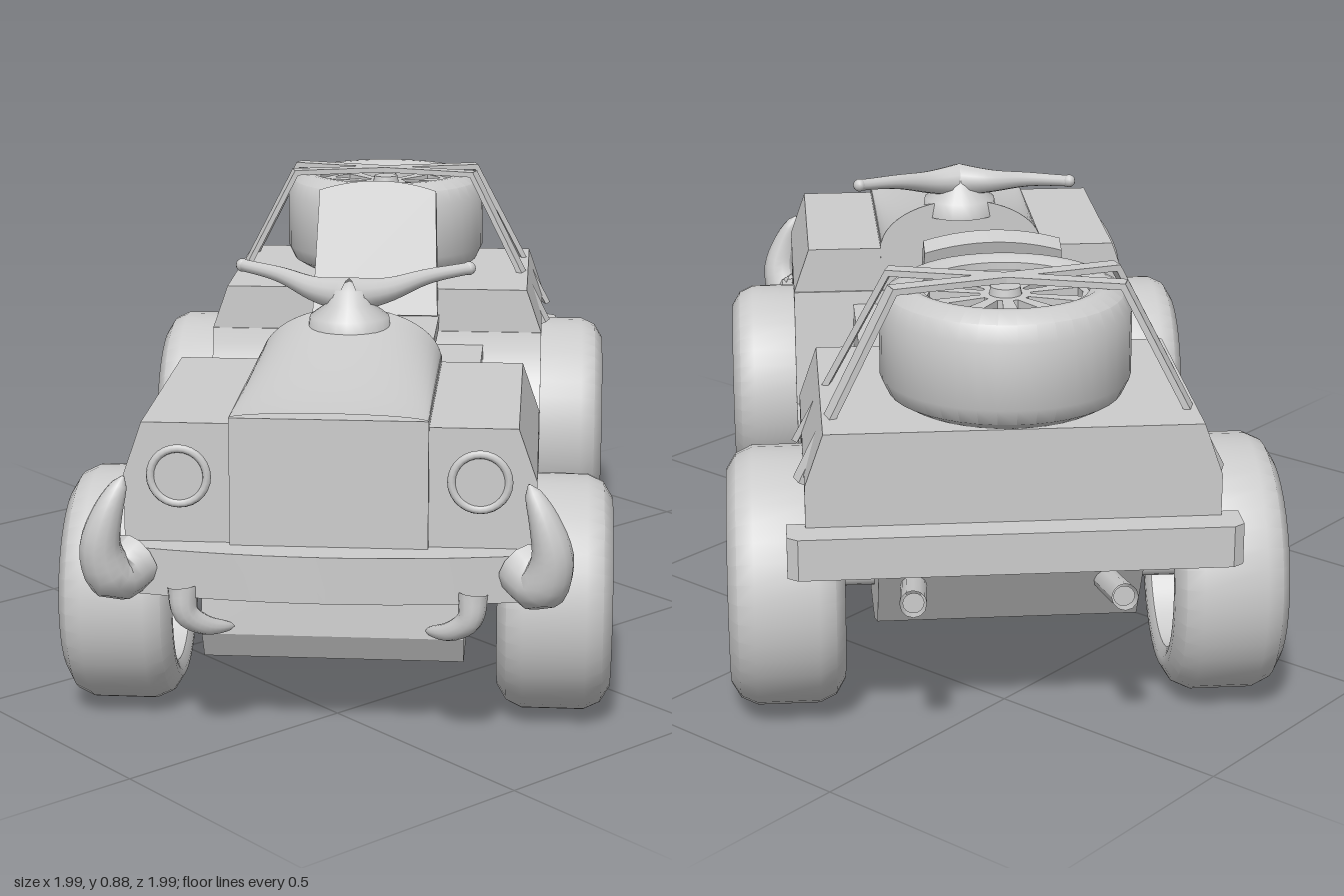
import * as THREE from 'three';
import { toCreasedNormals } from 'three/addons/utils/BufferGeometryUtils.js';

const V = (x, y, z) => new THREE.Vector3(x, y, z);
const lightGrey = new THREE.MeshStandardMaterial({ color: 0xcccccc, side: THREE.DoubleSide });

export function createModel() {
  const model = new THREE.Group();
  const car = new THREE.Group();
  car.name = 'buggy';
  car.rotation.y = -Math.PI / 4;
  model.add(car);

  const add = (name, geo, x = 0, y = 0, z = 0, parent = car) => {
    const m = new THREE.Mesh(geo, lightGrey);
    m.name = name;
    m.position.set(x, y, z);
    parent.add(m);
    return m;
  };
  const box = (name, w, h, d, x, y, z) => add(name, new THREE.BoxGeometry(w, h, d), x, y, z);
  const polygon = pts => new THREE.Shape(pts.map(p => new THREE.Vector2(...p)));
  const extrude = (shape, depth) => toCreasedNormals(
    new THREE.ExtrudeGeometry(shape, { depth, bevelEnabled: false, curveSegments: 14 }), 0.5);
  // Side profile given as (z, y), extruded across the width
  const across = (name, shape, width) =>
    add(name, extrude(shape, width).rotateY(-Math.PI / 2).translate(width / 2, 0, 0));
  // Tube whose radius follows a rule of t
  const taper = (name, pts, radius, seg = 16) => {
    const curve = new THREE.CatmullRomCurve3(pts);
    const g = new THREE.TubeGeometry(curve, seg, 1, 12);
    const p = g.attributes.position, v = V(0, 0, 0);
    for (let i = 0; i < p.count; i++) {
      const t = Math.floor(i / 13) / seg, c = curve.getPointAt(t);
      v.fromBufferAttribute(p, i).sub(c).multiplyScalar(radius(t)).add(c);
      p.setXYZ(i, v.x, v.y, v.z);
    }
    g.computeVertexNormals();
    return add(name, g);
  };

  // Lower body: arches, floor and the sweep up behind the seat
  const body = new THREE.Shape();
  body.moveTo(0.87, 0.53);
  for (const p of [[0.87, 0.34], [0.84, 0.34], [0.8, 0.47], [0.42, 0.47], [0.35, 0.2], [-0.37, 0.2],
    [-0.43, 0.5], [-0.84, 0.5], [-0.87, 0.4], [-0.89, 0.4], [-0.89, 0.53], [-0.372, 0.53]]) body.lineTo(...p);
  body.quadraticCurveTo(-0.33, 0.27, -0.02, 0.27);
  body.lineTo(0.315, 0.27);
  body.lineTo(0.345, 0.53);
  across('lowerBody', body, 0.77);

  // Belly pan
  across('belly', polygon([[0.8, 0.5], [0.82, 0.2], [0.79, 0.145], [-0.62, 0.145], [-0.76, 0.2],
    [-0.86, 0.36], [-0.86, 0.5]]), 0.5);

  // Upper decks with sloping shoulders
  const shoulder = polygon([[-0.385, 0.53], [0.385, 0.53], [0.35, 0.63], [-0.35, 0.63]]);
  add('frontDeck', extrude(shoulder, 0.52), 0, 0, 0.35);
  add('rearDeck', extrude(shoulder, 0.515), 0, 0, -0.89);

  // Hood: shallow arch at the nose swelling to a dome at the dash
  box('noseBlock', 0.37, 0.3, 0.537, 0, 0.495, 0.6175);
  const hood = new THREE.PlaneGeometry(2, 1, 24, 12);
  const hp = hood.attributes.position;
  for (let i = 0; i < hp.count; i++) {
    const u = hp.getX(i), t = hp.getY(i) + 0.5;
    const a = -Math.cos((u + 1) * Math.PI / 2);
    hp.setXYZ(i, a * 0.185, 0.645 - 0.015 * t + (0.012 + 0.098 * t ** 1.3) * Math.sqrt(Math.max(0, 1 - a * a)),
      0.888 - 0.54 * t);
  }
  hood.computeVertexNormals();
  add('hood', hood);
  add('dashboard', new THREE.CircleGeometry(1, 28, 0, Math.PI).scale(0.185, 0.11, 1).rotateY(Math.PI), 0, 0.63, 0.348);

  // Headlights
  for (const s of [-1, 1]) {
    add('headlight', new THREE.CylinderGeometry(0.052, 0.052, 0.02, 24).rotateX(Math.PI / 2), s * 0.28, 0.53, 0.872);
    add('headlightRing', new THREE.TorusGeometry(0.053, 0.008, 8, 28), s * 0.28, 0.53, 0.88);
  }

  // Bowed front bumper
  const bow = new THREE.Shape();
  bow.moveTo(-0.41, 0.85);
  bow.lineTo(-0.41, 0.9);
  bow.quadraticCurveTo(0, 1.0, 0.41, 0.9);
  bow.lineTo(0.41, 0.85);
  bow.closePath();
  add('frontBumper', extrude(bow, 0.09).rotateX(Math.PI / 2), 0, 0.4, 0);

  // Tusks on the bumper and small hooks under it
  for (const s of [-1, 1]) {
    taper('tusk', [V(s * 0.36, 0.37, 0.89), V(s * 0.395, 0.35, 0.935), V(s * 0.415, 0.41, 0.96),
      V(s * 0.4, 0.48, 0.965), V(s * 0.37, 0.55, 0.955)], t => 0.002 + 0.052 * Math.sqrt(1 - t));
    taper('hook', [V(s * 0.27, 0.33, 0.92), V(s * 0.265, 0.28, 0.925), V(s * 0.23, 0.25, 0.91),
      V(s * 0.18, 0.235, 0.87)], t => 0.001 + 0.028 * Math.sqrt(1 - t));
  }

  // Handlebar
  add('steeringStem', new THREE.LatheGeometry([[0.085, 0.7], [0.08, 0.735], [0.045, 0.76], [0.035, 0.79], [0.001, 0.805]]
    .map(p => new THREE.Vector2(...p)), 24), 0, 0, 0.4);
  for (const s of [-1, 1]) {
    taper('handlebar', [V(0, 0.775, 0.4), V(s * 0.07, 0.78, 0.365), V(s * 0.15, 0.797, 0.305), V(s * 0.235, 0.805, 0.25)],
      t => 0.013 + 0.025 * (1 - t) ** 2);
    add('gripEnd', new THREE.SphereGeometry(0.014, 12, 8), s * 0.235, 0.805, 0.25);
  }

  // Pedals
  for (const x of [-0.05, 0.04]) box('pedal', 0.035, 0.08, 0.014, x, 0.325, 0.25).rotation.x = 0.5;
  for (const x of [-0.05, 0.04]) box('pedalArm', 0.012, 0.012, 0.09, x, 0.33, 0.29);

  // Seat: pedestal flaring forward at its foot, cushion and leaning backrest
  const seatPlan = grow => {
    const s = new THREE.Shape();
    const w = 0.14 + grow;
    s.moveTo(-w, 0.35);
    s.lineTo(-w, 0.115 - grow);
    s.quadraticCurveTo(0, 0.03 - grow, w, 0.115 - grow);
    s.lineTo(w, 0.35);
    return s;
  };
  const pedestal = extrude(seatPlan(0), 0.29).rotateX(-Math.PI / 2);
  const pp = pedestal.attributes.position;
  for (let i = 0; i < pp.count; i++) {
    if (pp.getZ(i) > -0.2) pp.setZ(i, pp.getZ(i) + 0.08 * (1 - pp.getY(i) / 0.29));
  }
  add('seatPedestal', toCreasedNormals(pedestal, 0.5), 0, 0.265, 0);
  add('seatCushion', extrude(seatPlan(0.008), 0.03).rotateX(-Math.PI / 2), 0, 0.545, 0);
  const back = new THREE.Shape();
  back.moveTo(-0.145, 0);
  back.lineTo(0.145, 0);
  back.lineTo(0.135, 0.29);
  back.quadraticCurveTo(0, 0.335, -0.135, 0.29);
  back.closePath();
  add('seatBack', extrude(back, 0.045), 0, 0.565, -0.36).rotation.x = -0.31;

  // Wheel: hollow tyre with a spoked disc, axis along y, outer face at +y
  const wheel = (name, R, w) => {
    const g = new THREE.Group();
    g.name = name;
    car.add(g);
    const h = w / 2, r = R * 0.67;
    const profile = [[r, -h + 0.01], [r + 0.02, -h], [R - 0.045, -h], [R - 0.015, -h + 0.018], [R, -h + 0.05],
      [R, h - 0.05], [R - 0.015, h - 0.018], [R - 0.045, h], [r + 0.02, h], [r, h - 0.01], [r, -h + 0.01]];
    add('tyre', toCreasedNormals(new THREE.LatheGeometry(profile.map(p => new THREE.Vector2(...p)), 40), 0.6), 0, 0, 0, g);
    const disc = new THREE.Shape().absarc(0, 0, r + 0.004, 0, Math.PI * 2);
    for (let i = 0; i < 10; i++) {
      const a = i * Math.PI / 5;
      const at = (q, b) => new THREE.Vector2(q * Math.cos(a + b), q * Math.sin(a + b));
      disc.holes.push(new THREE.Path([at(r * 0.3, -0.1), at(r * 0.9, -0.2), at(r * 0.92, 0), at(r * 0.9, 0.2), at(r * 0.3, 0.1)]));
    }
    add('spokes', extrude(disc, 0.025).rotateX(-Math.PI / 2), 0, h - 0.05, 0, g);
    add('hub', new THREE.CylinderGeometry(0.028, 0.036, 0.04, 20), 0, h - 0.03, 0, g);
    return g;
  };
  for (const [end, R, z] of [['front', 0.232, 0.606], ['rear', 0.2525, -0.633]]) {
    for (const s of [-1, 1]) {
      const g = wheel(end + 'Wheel', R, 0.22);
      g.position.set(s * 0.422, R, z);
      g.rotation.z = -s * Math.PI / 2;
    }
    add(end + 'Axle', new THREE.CylinderGeometry(0.028, 0.028, 0.96, 16).rotateZ(Math.PI / 2), 0, R, z);
  }

  // Spare wheel lying on the rear deck
  wheel('spareWheel', 0.237, 0.225).position.set(0, 0.742, -0.694);

  // Crossed straps over the spare wheel
  const ribbon = (p, q) => {
    const m = add('strap', new THREE.BoxGeometry(0.034, 0.012, p.distanceTo(q) + 0.008));
    m.position.copy(p).add(q).multiplyScalar(0.5);
    m.up.set(0, 1, 0);
    car.remove(m);
    m.lookAt(q);
    car.add(m);
  };
  for (const s of [-1, 1]) {
    const foot = k => V(k * 0.393, 0.515, -0.694 + s * k * 0.115);
    const top = k => V(k * 0.215, 0.86, -0.694 + s * k * 0.063);
    ribbon(foot(-1), top(-1));
    ribbon(top(-1), top(1));
    ribbon(top(1), foot(1));
  }

  // Rear bumper with wrapped ends, and exhaust pipes
  add('rearBumper', extrude(polygon([[-0.42, 0.87], [0.42, 0.87], [0.42, 0.935], [0.4, 0.95], [-0.4, 0.95], [-0.42, 0.935]]),
    0.08).rotateX(-Math.PI / 2), 0, 0.37, 0).geometry.scale(1, 1, 1).rotateY(Math.PI).rotateY(Math.PI);
  for (const s of [-1, 1]) {
    taper('exhaustPipe', [V(s * 0.18, 0.285, -0.76), V(s * 0.187, 0.31, -0.88), V(s * 0.194, 0.333, -0.985)], () => 0.025);
    add('exhaustEnd', new THREE.CircleGeometry(0.02, 16).rotateY(Math.PI), s * 0.193, 0.331, -0.975);
  }

  return model;
}
